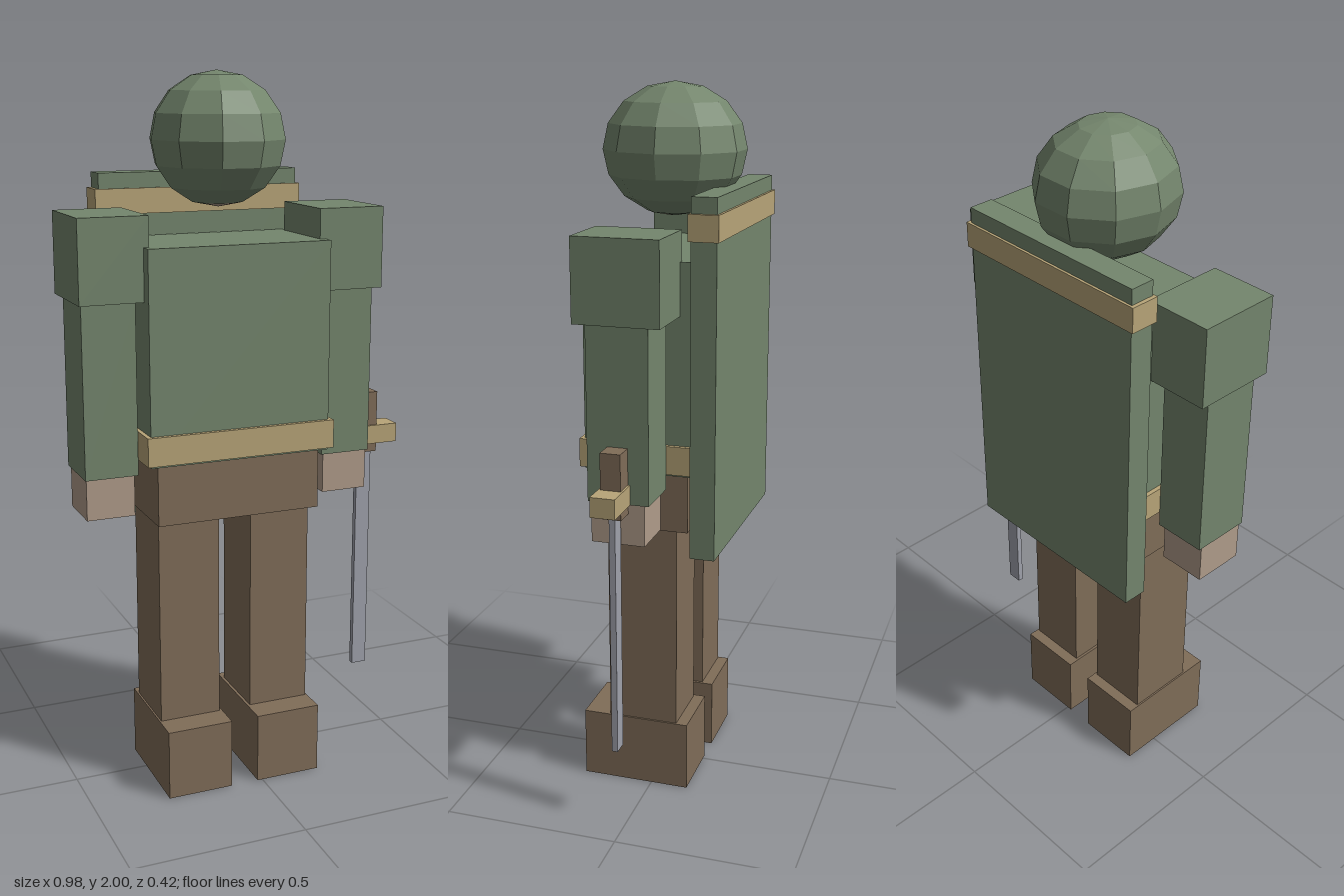
import * as THREE from 'three';

const paint = (name, color) => {
  const m = new THREE.MeshStandardMaterial({ color, flatShading: true });
  m.name = name;
  return m;
};

export function createModel() {
  const green = paint('green cloth', 0x74866d);
  const brown = paint('brown leather', 0x806d58);
  const tan = paint('tan trim', 0xb8a578);
  const skin = paint('skin', 0xb09c8a);
  const steel = paint('steel', 0xa0a2ac);

  const model = new THREE.Group();
  model.name = 'swordsman';
  const figure = new THREE.Group();
  figure.name = 'figure';
  figure.position.x = -0.055; // the sword widens the model on one side
  model.add(figure);

  // Box given by its lower and upper limits on each axis
  const box = (name, mat, [x0, x1], [y0, y1], [z0, z1], parent = figure) => {
    const mesh = new THREE.Mesh(new THREE.BoxGeometry(x1 - x0, y1 - y0, z1 - z0), mat);
    mesh.position.set((x0 + x1) / 2, (y0 + y1) / 2, (z0 + z1) / 2);
    mesh.name = name;
    parent.add(mesh);
  };
  const ball = (name, mat, radii, y, z) => {
    const mesh = new THREE.Mesh(new THREE.SphereGeometry(1, 10, 8), mat);
    mesh.scale.set(...radii);
    mesh.position.set(0, y, z);
    mesh.name = name;
    figure.add(mesh);
  };

  // Head inside a faceted hood
  ball('hood', green, [0.187, 0.18, 0.199], 1.82, 0);
  ball('head', skin, [0.16, 0.163, 0.165], 1.803, 0.01);

  // Body
  box('torso', green, [-0.261, 0.261], [0.97, 1.555], [-0.125, 0.178]);
  box('belt', tan, [-0.273, 0.273], [0.977, 1.057], [-0.135, 0.19]);
  box('hips', brown, [-0.238, 0.238], [0.8, 0.975], [-0.11, 0.165]);

  // Arms and legs, mirrored
  for (const side of [-1, 1]) {
    const label = side > 0 ? 'left' : 'right';
    const span = (a, b) => (side > 0 ? [a, b] : [-b, -a]);
    box(label + 'Shoulder', green, span(0.245, 0.437), [1.412, 1.637], [-0.095, 0.142]);
    box(label + 'Arm', green, span(0.275, 0.424), [0.935, 1.412], [-0.06, 0.11]);
    box(label + 'Hand', skin, span(0.284, 0.42), [0.82, 0.935], [-0.047, 0.102]);
    box(label + 'Leg', brown, span(0.048, 0.226), [0.2, 0.8], [-0.075, 0.127]);
    box(label + 'Boot', brown, span(0.04, 0.231), [0, 0.203], [-0.108, 0.205]);
  }

  // Cape with its trim
  box('cape', green, [-0.295, 0.295], [0.75, 1.728], [-0.203, -0.133]);
  box('capeTrim', tan, [-0.306, 0.306], [1.615, 1.685], [-0.21, -0.128]);

  // Sword at the left hand
  const sword = new THREE.Group();
  sword.name = 'sword';
  model.add(sword);
  box('swordGrip', brown, [0.368, 0.427], [0.91, 1.09], [-0.003, 0.053], sword);
  box('swordGuard', tan, [0.305, 0.49], [0.935, 0.99], [-0.009, 0.059], sword);
  box('swordBlade', steel, [0.375, 0.42], [0.23, 0.92], [0.016, 0.033], sword);

  return model;
}
